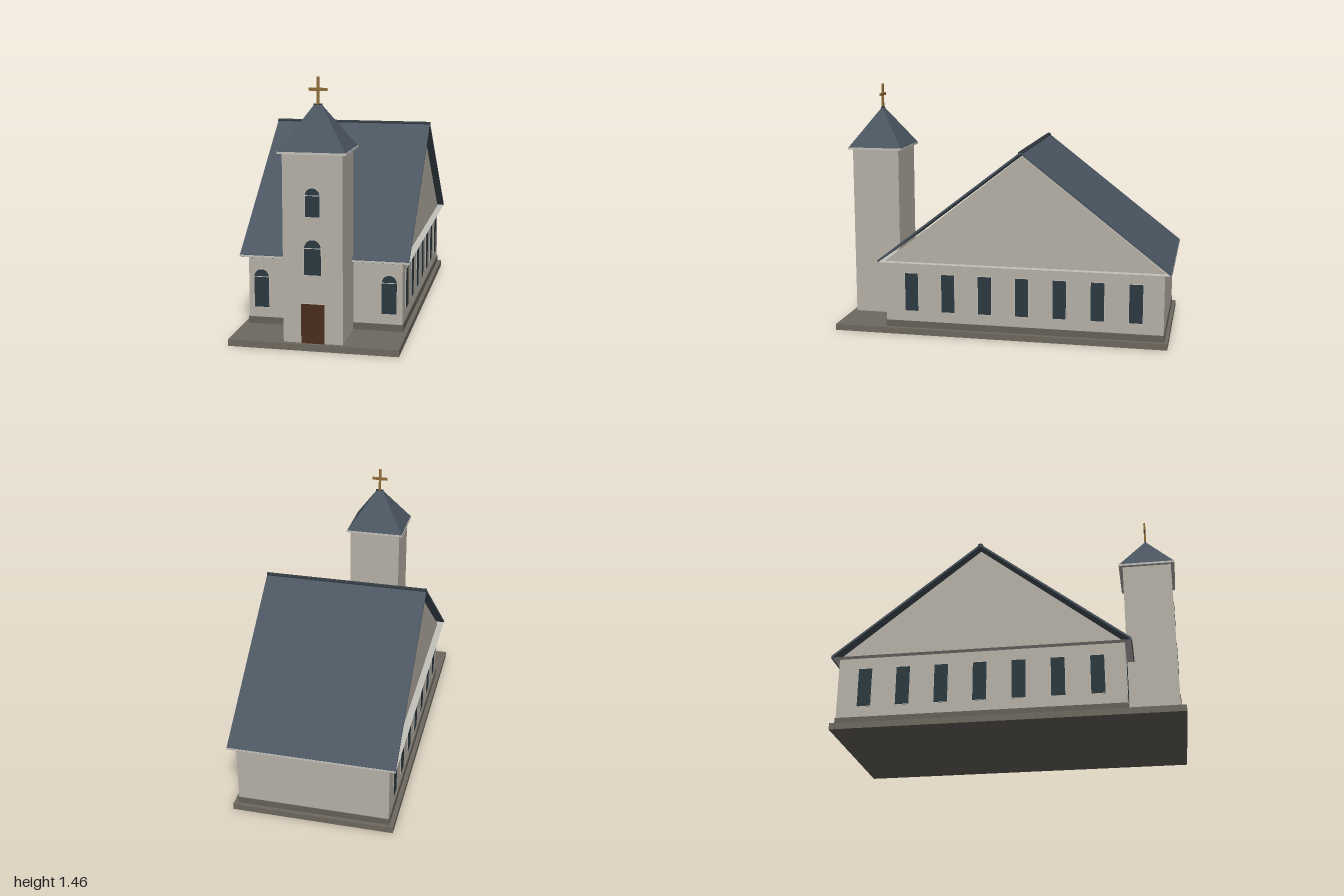
import * as THREE from 'three';

const mat = (color, side = THREE.FrontSide) =>
  new THREE.MeshStandardMaterial({ color, side, flatShading: true });

export function createModel() {
  const model = new THREE.Group();
  model.name = 'church';

  const wall = mat(0xb8b2a7), roof = mat(0x4a5560), ridge = mat(0x30373d);
  const stone = mat(0x6e695f), plinthMat = mat(0x65615a), trim = mat(0xc4c2bd);
  const glass = mat(0x2c3a40), wood = mat(0x4a2e1c), gold = mat(0x8f6d38);

  const add = (name, geometry, material, parent = model) => {
    const mesh = new THREE.Mesh(geometry, material);
    mesh.name = name;
    parent.add(mesh);
    return mesh;
  };
  // Box given by its min and max on each axis
  const box = (name, material, x0, x1, y0, y1, z0, z1, parent = model) => {
    const mesh = add(name, new THREE.BoxGeometry(x1 - x0, y1 - y0, z1 - z0), material, parent);
    mesh.position.set((x0 + x1) / 2, (y0 + y1) / 2, (z0 + z1) / 2);
    return mesh;
  };
  // Profile of [z, y] points swept across x from -half to +half
  const sweepX = (name, points, half, material) => {
    const shape = new THREE.Shape(points.map(([z, y]) => new THREE.Vector2(-z, y)));
    const geometry = new THREE.ExtrudeGeometry(shape, { depth: half * 2, bevelEnabled: false });
    geometry.translate(0, 0, -half).rotateY(Math.PI / 2);
    return add(name, geometry, material);
  };

  // Base slab, plinth and hall with gabled sides
  const ridgeZ = -0.137, front = 0.685, back = -0.96;
  box('baseSlab', stone, -0.47, 0.47, 0, 0.037, -0.985, 1);
  box('plinth', plinthMat, -0.445, 0.445, 0.037, 0.076, back - 0.004, front + 0.004);
  sweepX('hall', [[front, 0.037], [back, 0.037], [back, 0.44], [ridgeZ, 1.086], [front, 0.44]], 0.44, wall);

  // Thin pitched roof floating just above the gables
  const run = 0.863, eaveY = 0.446, ridgeY = 1.115, t = 0.014;
  sweepX('mainRoof', [
    [ridgeZ + run, eaveY], [ridgeZ + run, eaveY - t], [ridgeZ, ridgeY - t],
    [ridgeZ - run, eaveY - t], [ridgeZ - run, eaveY], [ridgeZ, ridgeY],
  ], 0.48, roof);
  sweepX('ridgeCap', [
    [ridgeZ + 0.015, 1.106], [ridgeZ, 1.112], [ridgeZ - 0.015, 1.106],
    [ridgeZ - 0.015, 1.112], [ridgeZ, 1.12], [ridgeZ + 0.015, 1.112],
  ], 0.481, ridge);

  // Eave soffit and fascia strips
  const soffit = add('eaveSoffit', new THREE.PlaneGeometry(0.96, run * 2), mat(0xc4c2bd, THREE.DoubleSide));
  soffit.rotation.x = -Math.PI / 2;
  soffit.position.set(0, 0.436, ridgeZ);
  for (const s of [-1, 1]) {
    const z = ridgeZ + s * run;
    box('fascia', trim, -0.482, 0.482, 0.433, 0.444, z - 0.002, z + 0.002);
  }

  // Bell tower
  const towerZ = 0.83;
  box('tower', wall, -0.163, 0.163, 0.037, 1.064, 0.685, 0.975);
  box('towerCornice', trim, -0.185, 0.185, 1.063, 1.075, towerZ - 0.168, towerZ + 0.168);

  // Hipped tower roof: a box whose top is drawn in to a short ridge
  const hip = new THREE.BoxGeometry(0.364, 0.235, 0.332);
  const p = hip.attributes.position;
  for (let i = 0; i < p.count; i++) {
    if (p.getY(i) > 0) {
      p.setX(i, Math.sign(p.getX(i)) * 0.02);
      p.setZ(i, Math.sign(p.getZ(i)) * 0.001);
    }
  }
  hip.computeVertexNormals();
  add('towerRoof', hip, roof).position.set(0, 1.1925, towerZ);
  box('towerRidgeCap', ridge, -0.024, 0.024, 1.307, 1.315, towerZ - 0.005, towerZ + 0.005);

  // Cross
  const cross = new THREE.Group();
  cross.name = 'cross';
  model.add(cross);
  box('crossPost', gold, -0.007, 0.007, 1.31, 1.456, towerZ - 0.006, towerZ + 0.006, cross);
  box('crossArm', gold, -0.05, 0.05, 1.382, 1.398, towerZ - 0.0055, towerZ + 0.0055, cross);

  // Arched windows: pane, thin frame behind it and a bar at the springing line
  const arch = (r, h, depth) => {
    const shape = new THREE.Shape();
    shape.moveTo(-r, 0);
    shape.lineTo(r, 0);
    shape.lineTo(r, h);
    shape.absarc(0, h, r, 0, Math.PI, false);
    shape.lineTo(-r, 0);
    return new THREE.ExtrudeGeometry(shape, { depth, bevelEnabled: false, curveSegments: 12 });
  };
  const archedWindow = (x, y, z, r, h) => {
    const group = new THREE.Group();
    group.name = 'archedWindow';
    group.position.set(x, y, z);
    model.add(group);
    add('frame', arch(r + 0.003, h + 0.003, 0.006), trim, group).position.set(0, -0.003, -0.003);
    add('pane', arch(r, h, 0.008), glass, group).position.z = -0.003;
    box('bar', trim, -r, r, h - 0.002, h + 0.002, 0, 0.007, group);
  };
  archedWindow(0, 0.73, 0.975, 0.039, 0.115);
  archedWindow(0, 0.415, 0.975, 0.045, 0.146);
  for (const s of [-1, 1]) archedWindow(s * 0.366, 0.136, front, 0.042, 0.177);

  // Front door
  box('doorFrame', trim, -0.066, 0.066, 0.037, 0.257, 0.97, 0.978);
  box('door', wood, -0.064, 0.064, 0.037, 0.255, 0.97, 0.981);

  // Seven tall windows along each side
  for (const s of [-1, 1]) {
    for (let i = 0; i < 7; i++) {
      const z = 0.528 - i * 0.2215;
      const side = (name, m, out, grow) => {
        const mesh = box(name, m, -out, out, 0.141 - grow, 0.368 + grow, z - 0.039 - grow, z + 0.039 + grow);
        mesh.position.x = s * 0.44;
      };
      side('sideWindowFrame', trim, 0.003, 0.003);
      side('sideWindowPane', glass, 0.005, 0);
    }
  }
  return model;
}
